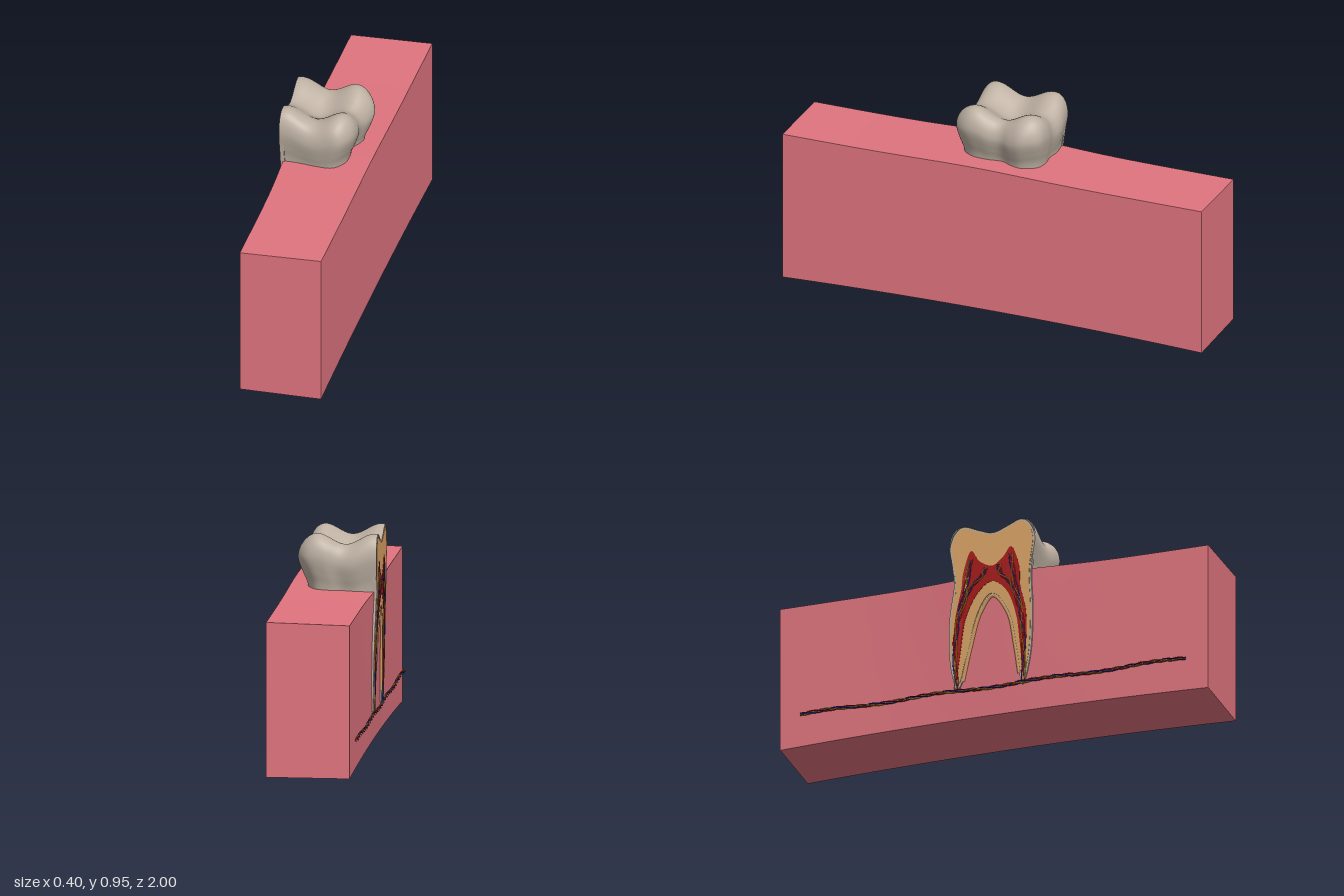
import * as THREE from 'three';

const mat = (name, color, side = THREE.FrontSide) => {
  const m = new THREE.MeshStandardMaterial({ color, side });
  m.name = name;
  return m;
};
const V2 = (p) => new THREE.Vector2(p[0], p[1]);

export function createModel() {
  const gumMat = mat('gum pink', 0xe0747e);
  const enamelMat = mat('enamel grey', 0xbdb0a2, THREE.DoubleSide);
  const dentineMat = mat('dentine tan', 0xdca466);
  const pulpMat = mat('pulp red', 0xa81414);
  const arteryMat = mat('artery red', 0xc01a1a);
  const veinMat = mat('vein blue', 0x2030b0);
  const nerveMat = mat('nerve yellow', 0xc8a020);

  const model = new THREE.Group();
  model.name = 'toothSection';
  const add = (name, geo, material, parent = model) => {
    const mesh = new THREE.Mesh(geo, material);
    mesh.name = name;
    parent.add(mesh);
    return mesh;
  };

  // Gum block: a box whose faces bow gently
  const gum = new THREE.BoxGeometry(1, 1, 1, 8, 12, 48);
  const gp = gum.attributes.position;
  for (let i = 0; i < gp.count; i++) {
    const u = gp.getX(i) + 0.5, v = gp.getY(i) + 0.5, z = gp.getZ(i) * 2;
    const bottom = 0.02 * (1 - z * z);
    const top = 0.69 + 0.008 * u + 0.004 * z + 0.01 * Math.exp(-(((z - 0.1) / 0.35) ** 2));
    const left = -0.17 - 0.017 * v * Math.exp(-((z / 0.3) ** 2));
    gp.setXYZ(i, left + (0.2 - left) * u, bottom + (top - bottom) * v, z);
  }
  gum.computeVertexNormals();
  add('gum', gum, gumMat);

  // Crown: a half outline swept through a side profile, with four cusps on top
  const cutX = -0.195;
  const outline = new THREE.SplineCurve([
    [-0.195, 0.2], [-0.1, 0.205], [0, 0.22], [0.08, 0.22], [0.13, 0.16], [0.137, 0.08],
    [0.125, 0], [0.152, -0.06], [0.162, -0.12], [0.12, -0.19], [0.05, -0.207],
    [-0.02, -0.2], [-0.1, -0.21], [-0.195, -0.2],
  ].map(V2)).getSpacedPoints(72);
  // (scale of the outline, fraction of the cusp height)
  const profile = new THREE.SplineCurve([
    [0.85, 0], [0.88, 0.33], [0.94, 0.52], [0.985, 0.67], [1, 0.78], [0.98, 0.88],
    [0.93, 0.95], [0.86, 0.985], [0.76, 1], [0.5, 1], [0.25, 1], [0, 1],
  ].map(V2)).getPoints(55);
  const bump = (t) => 0.5 - 0.5 * Math.cos(2 * Math.PI * t);
  const pos = [], index = [], cols = outline.length;
  profile.forEach((p, k) => outline.forEach((o, j) => {
    const x = cutX + p.x * (o.x - cutX), z = p.x * o.y;
    const h = 0.85 + 0.048 * bump((x + 0.05) / 0.26) + 0.048 * bump(z / 0.27);
    pos.push(x, 0.6 + p.y * (h - 0.6), z);
    if (k < profile.length - 1 && j < cols - 1) {
      const a = k * cols + j, c = a + cols;
      index.push(a, a + 1, c, a + 1, c + 1, c);
    }
  }));
  const crown = new THREE.BufferGeometry();
  crown.setAttribute('position', new THREE.Float32BufferAttribute(pos, 3));
  crown.setIndex(index);
  crown.computeVertexNormals();
  add('crown', crown, enamelMat);

  // Everything on the cut face leans inward below the gum line
  const lean = (geo) => {
    const p = geo.attributes.position;
    for (let i = 0; i < p.count; i++) p.setX(i, p.getX(i) + 0.025 * Math.max(0, 0.7 - p.getY(i)));
    geo.computeVertexNormals();
    return geo;
  };

  // Layer of the cut face from a (z, y) outline, shrunk by inset, facing -x
  const layer = (name, pts, inset, front, material) => {
    const curve = new THREE.SplineCurve([...pts, pts[0]].map(V2));
    const n = 150, ring = [];
    for (let i = 0; i < n; i++) {
      const p = curve.getPoint(i / n), t = curve.getTangent(i / n);
      ring.push(new THREE.Vector2(p.x + t.y * inset, p.y - t.x * inset));
    }
    const geo = new THREE.ExtrudeGeometry(new THREE.Shape(ring), { depth: -0.174 - front, bevelEnabled: false });
    geo.rotateY(-Math.PI / 2).translate(-0.174, 0, 0);
    add(name, lean(geo), material);
  };

  const tooth = [
    [-0.175, 0.155], [-0.203, 0.3], [-0.203, 0.5], [-0.18, 0.66], [-0.187, 0.75], [-0.198, 0.85],
    [-0.172, 0.92], [-0.13, 0.943], [-0.06, 0.915], [0, 0.897], [0.06, 0.915], [0.13, 0.943],
    [0.172, 0.92], [0.198, 0.85], [0.187, 0.75], [0.18, 0.66], [0.185, 0.5], [0.175, 0.3],
    [0.14, 0.15], [0.12, 0.2], [0.1, 0.35], [0.07, 0.5], [0, 0.595], [-0.06, 0.52],
    [-0.11, 0.35], [-0.145, 0.2],
  ];
  layer('enamelRim', tooth, 0, -0.193, enamelMat);
  layer('dentine', tooth, 0.009, -0.1955, dentineMat);
  layer('pulp', [
    [-0.172, 0.2], [-0.183, 0.35], [-0.175, 0.5], [-0.145, 0.64], [-0.135, 0.72], [-0.1, 0.82],
    [-0.06, 0.765], [0, 0.735], [0.05, 0.77], [0.09, 0.815], [0.125, 0.72], [0.13, 0.62],
    [0.155, 0.5], [0.155, 0.35], [0.14, 0.2], [0.125, 0.35], [0.11, 0.48], [0.07, 0.6],
    [0, 0.66], [-0.07, 0.61], [-0.125, 0.5], [-0.15, 0.35],
  ], 0, -0.197, pulpMat);

  // Rounded dentine lip between the roots
  const tube = (name, pts, r, material, segs = 60) => add(name, lean(new THREE.TubeGeometry(
    new THREE.CatmullRomCurve3(pts), segs, r, 6)), material);
  tube('rootArch', tooth.slice(19).map(([z, y]) => new THREE.Vector3(-0.187, y, z)), 0.009, dentineMat);

  // Vessels: three twisted strands along the jaw, branching up both roots
  const strands = [['artery', arteryMat], ['vein', veinMat], ['nerve', nerveMat]];
  const branches = [
    [[-0.17, 0.15], [-0.178, 0.35], [-0.16, 0.5], [-0.125, 0.64], [-0.1, 0.78]],
    [[-0.16, 0.5], [-0.11, 0.63], [-0.05, 0.69], [-0.03, 0.73]],
    [[0.14, 0.15], [0.142, 0.35], [0.132, 0.5], [0.105, 0.64], [0.085, 0.78]],
    [[0.132, 0.5], [0.09, 0.63], [0.04, 0.69], [0.03, 0.74]],
  ].map((b) => new THREE.SplineCurve(b.map(V2)));
  strands.forEach(([name, material], s) => {
    const phase = s * 2.1;
    const main = [];
    for (let i = 0; i <= 60; i++) {
      const a = i * 1.1 + phase;
      main.push(new THREE.Vector3(-0.201 + 0.006 * Math.cos(a),
        0.152 + 0.006 * Math.sin(a) + 0.005 * Math.sin(i * 0.37), -0.9 + i * 0.03));
    }
    tube(name + 'Main', main, 0.003, material, 240);
    branches.forEach((curve, b) => {
      const pts = curve.getPoints(16).map((p, i) => new THREE.Vector3(-0.1975, p.y,
        p.x + 0.009 * Math.sin(i * 0.9 + phase + b)));
      tube(name + 'Branch', pts, 0.0025, material, 64);
    });
  });

  return model;
}
